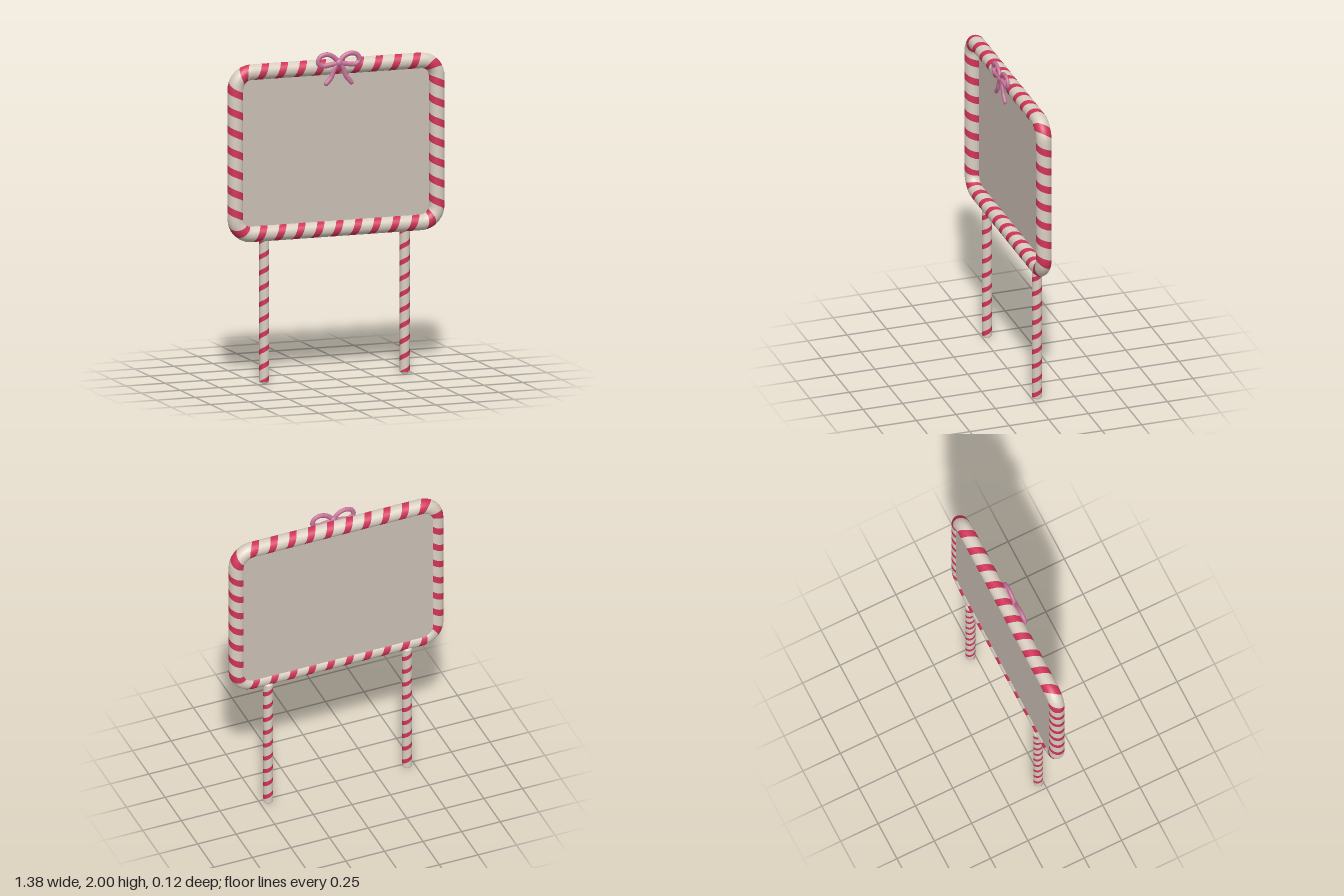
import * as THREE from 'three';

const mat = (name, color) => {
  const m = new THREE.MeshStandardMaterial({ color });
  m.name = name;
  return m;
};

// Tube wrapped in helical stripes; at(s) gives centre p and two cross axes u, v.
// Rows follow the helix, so each band is cleanly one colour (group 0 stripe, 1 base).
function stripedTube(at, radius, pitch, first, last, stripe, offset, sides = 28) {
  const pos = [], nor = [], idx = [], geo = new THREE.BufferGeometry();
  const steps = [0, 0.5, 1].map(f => f * stripe).concat([1, 2, 3].map(i => stripe + (1 - stripe) * i / 3));
  const quads = [[], []];
  for (let k = first; k < last; k++) {
    steps.forEach((f, row) => {
      const base = pos.length / 3;
      for (let j = 0; j <= sides; j++) {
        const a = j / sides * Math.PI * 2;
        const { p, u, v } = at((k + f + offset - stripe / 2 - j / sides) * pitch);
        const n = u.clone().multiplyScalar(Math.cos(a)).addScaledVector(v, Math.sin(a));
        nor.push(n.x, n.y, n.z);
        n.multiplyScalar(radius).add(p);
        pos.push(n.x, n.y, n.z);
        if (row === 0 || j === 0) continue;
        const d = base + j, c = d - 1, b = d - sides - 1, a0 = b - 1;
        quads[row <= 2 ? 0 : 1].push(a0, c, b, b, c, d);
      }
    });
  }
  // Wind every face outward
  const test = (q) => {
    const P = i => new THREE.Vector3().fromArray(pos, i * 3);
    for (let i = 0; i < q.length; i += 3) {
      const A = P(q[i]), n = P(q[i + 1]).sub(A).cross(P(q[i + 2]).sub(A));
      if (n.dot(new THREE.Vector3().fromArray(nor, q[i] * 3)) < 0) [q[i + 1], q[i + 2]] = [q[i + 2], q[i + 1]];
    }
  };
  quads.forEach((q, g) => {
    test(q);
    geo.addGroup(idx.length, q.length, g);
    for (const i of q) idx.push(i);
  });
  geo.setAttribute('position', new THREE.Float32BufferAttribute(pos, 3));
  geo.setAttribute('normal', new THREE.Float32BufferAttribute(nor, 3));
  geo.setIndex(idx);
  return geo;
}

// Rounded rectangle walked clockwise from the middle of the top
const HW = 0.645, HH = 0.492, CY = 1.408, CR = 0.1, FZ = -0.005;
const sx = HW - CR, sy = HH - CR, arc = CR * Math.PI / 2;
const LENGTH = 4 * (sx + sy + arc);
function framePath(s) {
  s = ((s % LENGTH) + LENGTH) % LENGTH;
  const lens = [sx, arc, 2 * sy, arc, 2 * sx, arc, 2 * sy, arc, sx];
  let i = 0;
  while (i < 8 && s > lens[i]) s -= lens[i++];
  const corner = [[1, 1], [1, -1], [-1, -1], [-1, 1]];
  let x, y, ang = Math.PI / 2 - Math.floor(i / 2) * Math.PI / 2;
  if (i % 2) {
    const c = corner[(i - 1) / 2];
    ang -= s / CR;
    x = c[0] * sx + CR * Math.cos(ang);
    y = c[1] * sy + CR * Math.sin(ang);
  } else {
    [x, y] = [[s, HH], [HW, sy - s], [sx - s, -HH], [-HW, -sy + s], [-sx + s, HH]][i / 2];
  }
  return {
    p: new THREE.Vector3(x, y + CY, FZ),
    u: new THREE.Vector3(Math.cos(ang), Math.sin(ang), 0),
    v: new THREE.Vector3(0, 0, 1),
  };
}

export function createModel() {
  const model = new THREE.Group();
  const cream = mat('cream', 0xd9cec0);
  const red = mat('candy red', 0xd2345a);
  const pink = mat('ribbon pink', 0xc9759a);
  const board = mat('board', 0xc9beb3);
  const add = (parent, name, geo, material, x = 0, y = 0, z = 0) => {
    const m = new THREE.Mesh(geo, material);
    m.name = name;
    m.position.set(x, y, z);
    parent.add(m);
    return m;
  };

  // Striped frame and the board set near its back
  const turns = 36;
  add(model, 'frame', stripedTube(framePath, 0.047, LENGTH / turns, 0, turns, 0.38, 0.29), [red, cream]);
  add(model, 'panel', new THREE.BoxGeometry(1.25, 0.945, 0.006), board, 0, CY, -0.038);

  // Striped legs with softly domed ends
  const legLen = 0.87, pitch = 0.096;
  const legPath = s => ({
    p: new THREE.Vector3(0, THREE.MathUtils.clamp(s, 0, legLen), 0),
    u: new THREE.Vector3(0, 0, 1),
    v: new THREE.Vector3(-1, 0, 0),
  });
  const legGeo = stripedTube(legPath, 0.03, pitch, -1, Math.ceil(legLen / pitch) + 2, 0.32, 0.1, 20);
  for (const side of [-1, 1]) {
    const leg = new THREE.Group();
    leg.name = side > 0 ? 'leftLeg' : 'rightLeg';
    leg.position.set(side * 0.45, 0.014, -0.03);
    add(leg, 'legPole', legGeo, [red, cream]);
    for (const end of [0, 1]) {
      const cap = add(leg, end ? 'legTop' : 'legFoot',
        new THREE.SphereGeometry(0.03, 20, 6, 0, Math.PI * 2, 0, Math.PI / 2), cream, 0, end * legLen, 0);
      cap.scale.y = 0.014 / 0.03;
      if (!end) cap.rotation.x = Math.PI;
    }
    model.add(leg);
  }

  // Ribbon bow on the top rail
  const bow = new THREE.Group();
  bow.name = 'bow';
  bow.position.set(0, 1.93, 0.042);
  bow.scale.z = 0.75;
  const curve = pts => new THREE.CatmullRomCurve3(pts.map(([x, y]) => new THREE.Vector3(x, y, 0)));
  for (const s of [-1, 1]) {
    const side = s > 0 ? 'left' : 'right';
    const loop = [[0, 0], [0.035, 0.038], [0.08, 0.054], [0.12, 0.04], [0.132, 0.006], [0.105, -0.014], [0.055, -0.01], [0, 0]];
    add(bow, side + 'Loop', new THREE.TubeGeometry(curve(loop.map(([x, y]) => [s * x, y])), 48, 0.015, 10), pink);
    const tail = [[0, 0], [0.028, -0.035], [0.048, -0.085], [0.08, -0.122]].map(([x, y]) => [s * x, y]);
    add(bow, side + 'Tail', new THREE.TubeGeometry(curve(tail), 20, 0.015, 10), pink);
    add(bow, side + 'TailEnd', new THREE.SphereGeometry(0.015, 12, 8), pink, s * 0.08, -0.122, 0);
  }
  add(bow, 'knot', new THREE.SphereGeometry(0.025, 18, 12), pink);
  model.add(bow);

  return model;
}
